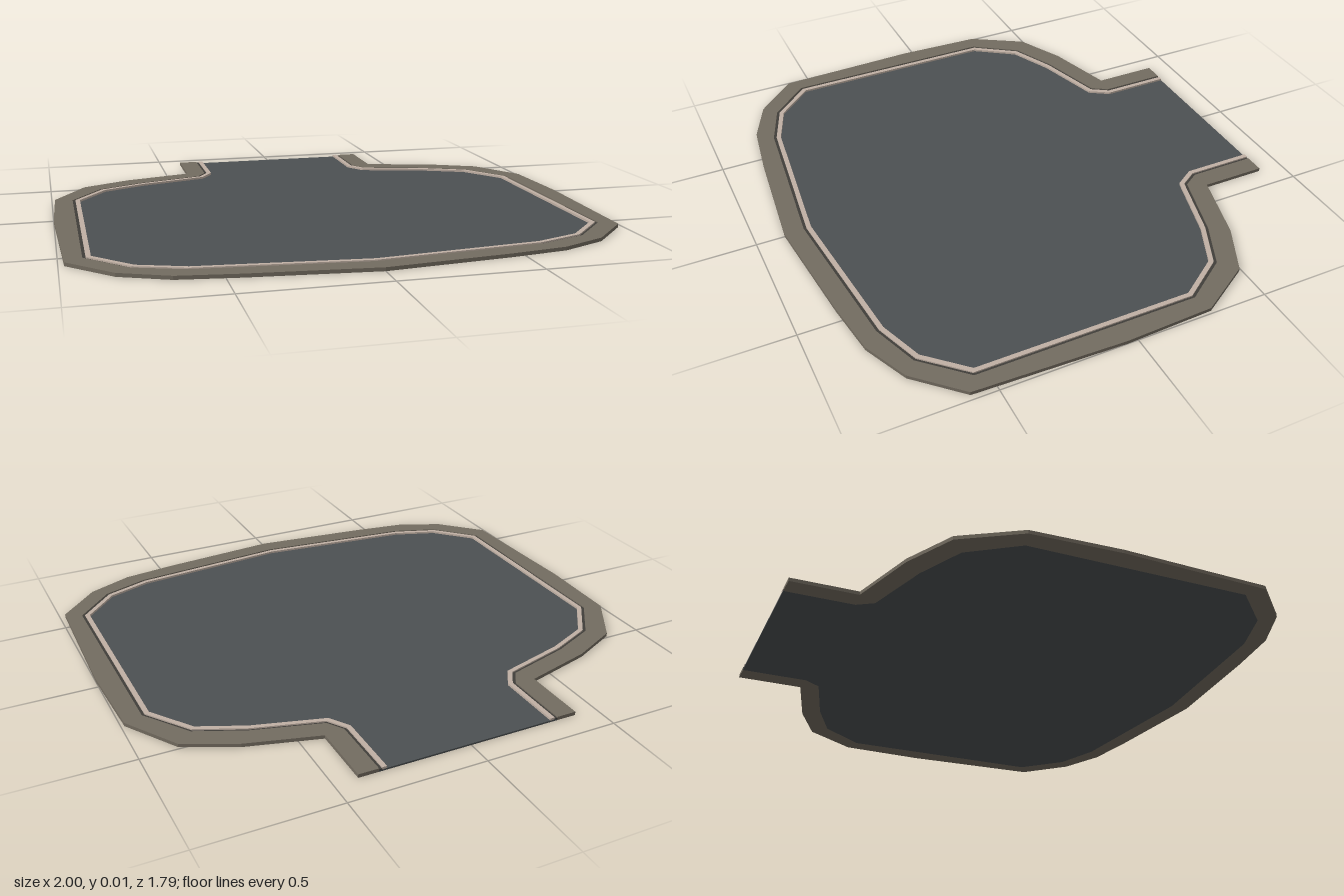
import * as THREE from 'three';

// Right half of an outline [x, z], completed by its mirror image
const mirrored = (half) => [
  ...half,
  ...half.slice(0, -1).reverse().map(([x, z]) => [-x, z]),
];

// Shift an open outline outwards by d with mitred corners
function offset(points, d) {
  const normals = points.slice(1).map(([x, z], i) => {
    const dx = x - points[i][0], dz = z - points[i][1];
    const l = Math.hypot(dx, dz);
    return [dz / l, -dx / l];
  });
  return points.map(([x, z], i) => {
    const a = normals[Math.max(i - 1, 0)];
    const b = normals[Math.min(i, normals.length - 1)];
    const k = d / (1 + a[0] * b[0] + a[1] * b[1]);
    return [x + (a[0] + b[0]) * k, z + (a[1] + b[1]) * k];
  });
}

export function createModel() {
  const group = new THREE.Group();
  const material = (name, color) => {
    const m = new THREE.MeshStandardMaterial({ color });
    m.name = name;
    return m;
  };
  const asphalt = material('asphalt', 0x4c5052);
  const paving = material('paving', 0x736c60);
  const stone = material('kerbStone', 0xc0b0a4);
  const shade = material('darkGutter', 0x403e3a);

  // Flat slab from a closed [x, z] outline between two heights
  function slab(name, outline, bottom, top, mat) {
    const shape = new THREE.Shape(outline.map(([x, z]) => new THREE.Vector2(x, z)));
    const geometry = new THREE.ExtrudeGeometry(shape, { depth: top - bottom, bevelEnabled: false });
    geometry.rotateX(Math.PI / 2).translate(0, top, 0);
    const mesh = new THREE.Mesh(geometry, mat);
    mesh.name = name;
    group.add(mesh);
  }
  const band = (inner, outer) => [...outer, ...[...inner].reverse()];

  // Outlines from the road edge to the outside of the pavement
  const roadEdge = mirrored([
    [0.312, -0.9], [0.312, -0.64], [0.36, -0.565], [0.62, -0.49], [0.785, -0.415],
    [0.893, -0.26], [0.893, 0.54], [0.765, 0.675], [0.6, 0.735], [0, 0.795],
  ]);
  const kerbEdge = offset(roadEdge, 0.017);
  const gutterEdge = offset(roadEdge, 0.028);
  const outerEdge = mirrored([
    [0.414, -0.9], [0.414, -0.655], [0.68, -0.58], [0.865, -0.49], [0.988, -0.29],
    [1, 0.04], [0.98, 0.59], [0.83, 0.745], [0.66, 0.82], [0.45, 0.85], [0, 0.895],
  ]);

  slab('road', gutterEdge, 0, 0.006, asphalt);
  slab('kerb', band(roadEdge, kerbEdge), 0.005, 0.014, stone);
  slab('gutter', band(kerbEdge, gutterEdge), 0.005, 0.009, shade);
  slab('pavement', band(gutterEdge, outerEdge), 0, 0.013, paving);
  return group;
}
